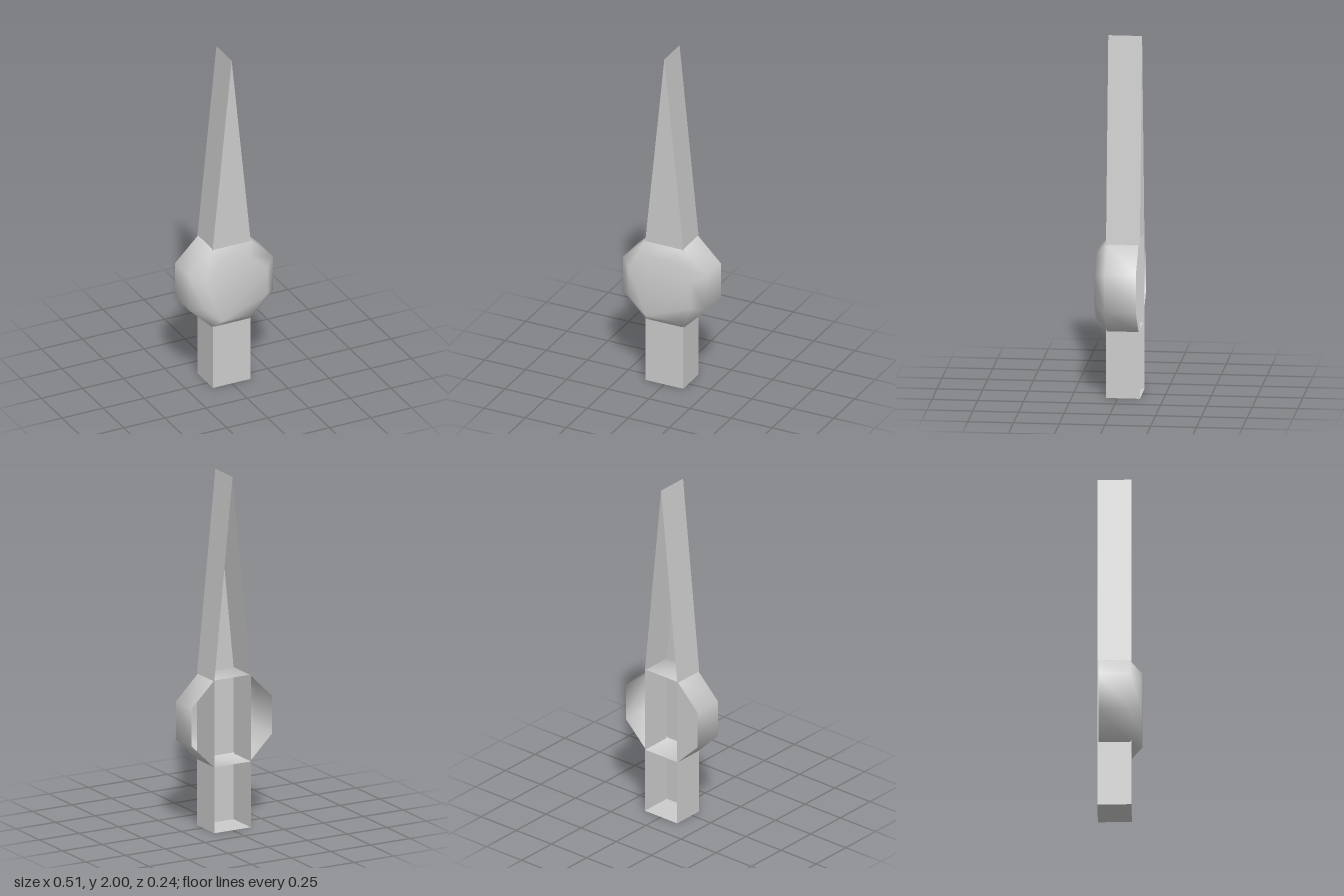
import * as THREE from 'three';

// Open-backed shell: rings of points from back to front, closed by a front cap.
function shell(rings, flat) {
  const n = rings[0].length;
  const index = [];
  for (let r = 0; r < rings.length - 1; r++) {
    for (let i = 0; i < n; i++) {
      const j = (i + 1) % n;
      const a = r * n + i, b = r * n + j, c = b + n, d = a + n;
      index.push(a, b, c, a, c, d);
    }
  }
  const cap = (rings.length - 1) * n;
  for (let i = 1; i < n - 1; i++) index.push(cap, cap + i, cap + i + 1);

  let geometry = new THREE.BufferGeometry();
  geometry.setAttribute('position', new THREE.Float32BufferAttribute(rings.flat(2), 3));
  geometry.setIndex(index);
  if (flat) geometry = geometry.toNonIndexed();
  geometry.computeVertexNormals();
  return geometry;
}

export function createModel() {
  const group = new THREE.Group();
  group.name = 'clockHand';
  const grey = new THREE.MeshStandardMaterial({ color: 0xcccccc, side: THREE.DoubleSide });
  grey.name = 'light grey';

  // Long pointer: straight stem tapering to a ridge at the top
  const outline = [[-0.115, 0], [0.115, 0], [0.115, 0.862], [0, 2], [-0.115, 0.862]];
  const pointerRing = (z) => outline.map(([x, y]) => [x, y, z]);
  const pointer = new THREE.Mesh(shell([pointerRing(-0.122), pointerRing(0.063)], true), grey);
  pointer.name = 'pointer';
  group.add(pointer);

  // Octagonal hub with a bevelled, softly shaded front
  const octagon = [
    [-0.112, -0.246], [0.112, -0.246], [0.254, -0.106], [0.254, 0.106],
    [0.112, 0.246], [-0.112, 0.246], [-0.254, 0.106], [-0.254, -0.106],
  ];
  const hubRing = (z, s) => octagon.map(([x, y]) => [x * s, 0.616 + y * s, z]);
  const hub = new THREE.Mesh(shell([hubRing(-0.115, 1), hubRing(0.055, 1), hubRing(0.12, 0.75)], false), grey);
  hub.name = 'hub';
  group.add(hub);

  return group;
}
